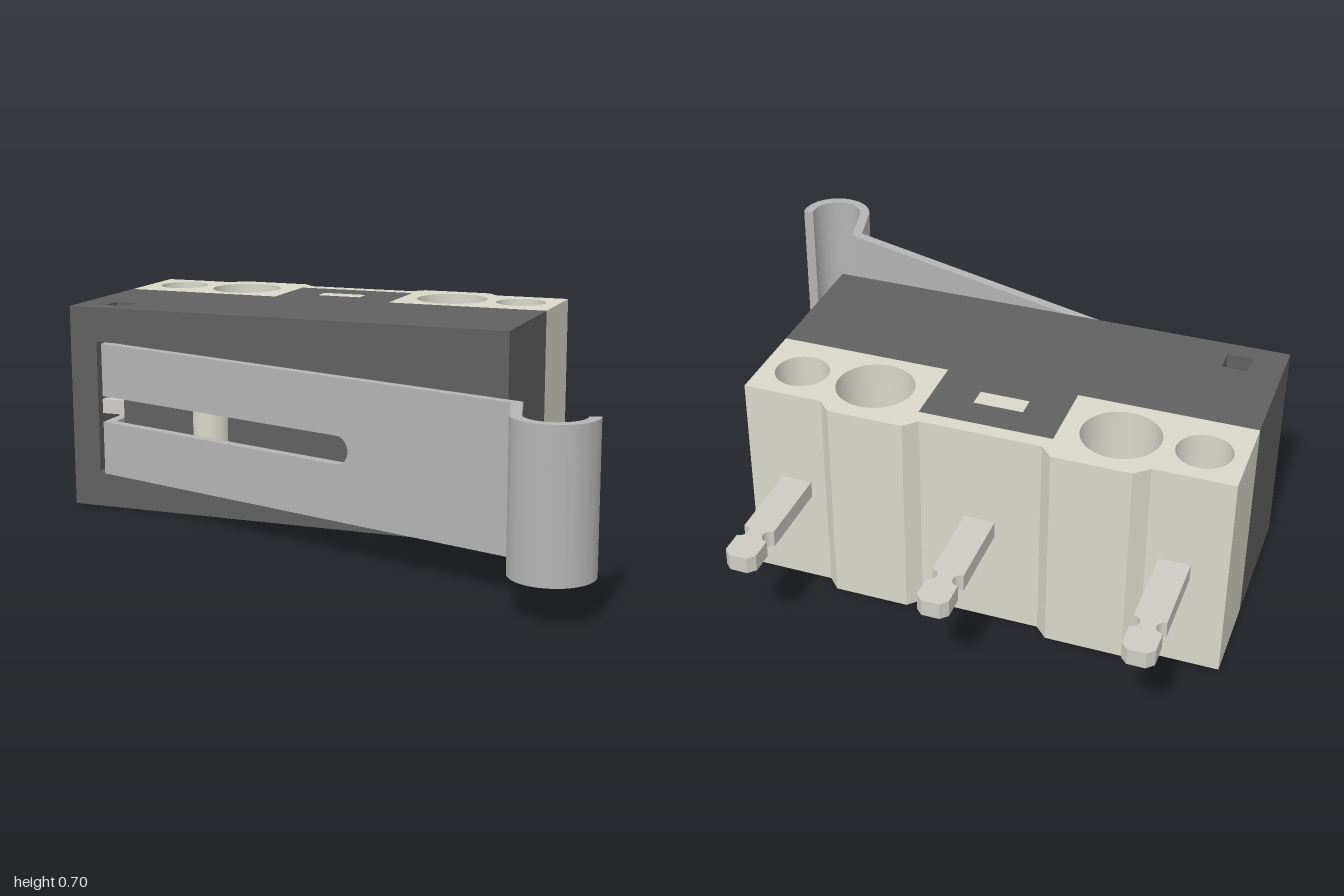
import * as THREE from 'three';
import { toCreasedNormals } from 'three/addons/utils/BufferGeometryUtils.js';

const mat = (color) => new THREE.MeshStandardMaterial({ color });
const DARK = mat(0x606060), CREAM = mat(0xd8d7ca), STEEL = mat(0xb4b4b4), PIN = mat(0xcccbc4);
const H = 0.7; // case height

const outline = (pts) => new THREE.Shape(pts.map(([x, z]) => new THREE.Vector2(x, z)));
const circle = (x, z, r) => new THREE.Path().absarc(x, z, r, 0, Math.PI * 2);
const rect = (x0, x1, z0, z1) => new THREE.Path(
  [[x0, z0], [x1, z0], [x1, z1], [x0, z1]].map(([x, z]) => new THREE.Vector2(x, z)));

// Plan shape drawn in (x, z), extruded from y0 up to y1
function slab(name, material, shape, holes, y0, y1) {
  shape.holes.push(...holes);
  const geo = new THREE.ExtrudeGeometry(shape, { depth: y1 - y0, bevelEnabled: false, curveSegments: 24 });
  geo.rotateX(Math.PI / 2).translate(0, y1, 0);
  const mesh = new THREE.Mesh(toCreasedNormals(geo, 0.5), material);
  mesh.name = name;
  return mesh;
}

function box(name, material, x0, x1, y0, y1, z0, z1) {
  const mesh = new THREE.Mesh(new THREE.BoxGeometry(x1 - x0, y1 - y0, z1 - z0), material);
  mesh.position.set((x0 + x1) / 2, (y0 + y1) / 2, (z0 + z1) / 2);
  mesh.name = name;
  return mesh;
}

// Dark front half with its central tongue and the lever pocket
function frontCase() {
  const g = new THREE.Group();
  g.name = 'frontCase';
  const back = [[0.565, -0.25], [0, -0.25], [0, -0.505], [-0.43, -0.505], [-0.43, -0.25], [-1, -0.25]];
  const full = () => outline([...back, [-1, 0.21], [0.565, 0.21]]);
  const notched = outline([...back, [-1, 0.21], [-0.9, 0.21], [-0.9, 0.06], [-0.8, 0.06], [-0.8, 0.21], [0.565, 0.21]]);
  const latchHole = () => rect(-0.3, -0.14, -0.4, -0.335);
  const pivotHole = () => rect(-0.895, -0.81, 0.065, 0.145);
  g.add(
    slab('caseFloor', DARK, full(), [latchHole(), pivotHole()], 0, 0.125),
    slab('caseMiddle', DARK, notched, [latchHole()], 0.125, 0.58),
    slab('caseRoof', DARK, full(), [latchHole(), pivotHole()], 0.58, H),
    box('latch', CREAM, -0.3, -0.14, 0, H, -0.4, -0.335),
    box('pocketLining', CREAM, -0.9, -0.8, 0.125, 0.58, 0.05, 0.064),
    box('pivotBar', PIN, -0.9, -0.8, 0.325, 0.375, 0.15, 0.18));
  return g;
}

// Cream rear half: through holes for mounting, blind holes at both ends
function rearCase() {
  const g = new THREE.Group();
  g.name = 'rearCase';
  const plan = () => outline([
    [-1, -0.25], [-1, -0.553], [-0.745, -0.553], [-0.7, -0.595], [-0.45, -0.595], [-0.41, -0.553],
    [-0.02, -0.553], [0.02, -0.595], [0.265, -0.595], [0.305, -0.553], [0.565, -0.553],
    [0.565, -0.25], [0, -0.25], [0, -0.505], [-0.43, -0.505], [-0.43, -0.25]]);
  const mounts = () => [circle(-0.615, -0.415, 0.125), circle(0.18, -0.415, 0.125)];
  const ends = (rl, rr) => [circle(-0.87, -0.415, rl), circle(0.43, -0.415, rr)];
  g.add(
    slab('rearBottom', CREAM, plan(), [...mounts(), ...ends(0.087, 0.06)], 0, 0.2),
    slab('rearMiddle', CREAM, plan(), mounts(), 0.2, 0.5),
    slab('rearTop', CREAM, plan(), [...mounts(), ...ends(0.087, 0.087)], 0.5, H));
  return g;
}

// Flat terminal with chamfered tip and two round notches
function terminal(x) {
  const s = new THREE.Shape();
  const w = 0.05, zn = -0.855, r = 0.025;
  s.moveTo(x - w, -0.54);
  s.lineTo(x + w, -0.54);
  s.lineTo(x + w, zn + r);
  s.absarc(x + w, zn, r, Math.PI / 2, Math.PI * 1.5, false);
  s.lineTo(x + w, -0.955);
  s.lineTo(x + w - 0.022, -0.977);
  s.lineTo(x - w + 0.022, -0.977);
  s.lineTo(x - w, -0.955);
  s.lineTo(x - w, zn - r);
  s.absarc(x - w, zn, r, -Math.PI / 2, Math.PI / 2, false);
  s.closePath();
  return slab('terminal', PIN, s, [], 0.325, 0.38);
}

// Sprung lever: forked arm, two pivot fingers and a curled tip
function lever() {
  const g = new THREE.Group();
  g.name = 'lever';
  const y0 = 0.125, y1 = 0.58, mid = 0.353, slot = 0.045, t = 0.034;
  const dx = 1.592, dz = 0.485, len = Math.hypot(dx, dz);

  const s = new THREE.Shape();
  s.moveTo(0, y0);
  s.lineTo(len, y0);
  s.lineTo(len, y1);
  s.lineTo(0, y1);
  s.lineTo(0, mid + slot);
  s.lineTo(1.02, mid + slot);
  s.absarc(1.02, mid, slot, Math.PI / 2, -Math.PI / 2, true);
  s.lineTo(0, mid - slot);
  s.closePath();
  const geo = new THREE.ExtrudeGeometry(s, { depth: t, bevelEnabled: false, curveSegments: 16 });
  geo.translate(0, 0, -t / 2).rotateY(-Math.atan2(dz, dx)).translate(-0.862, 0, 0.221);
  const arm = new THREE.Mesh(toCreasedNormals(geo, 0.5), STEEL);
  arm.name = 'leverArm';
  g.add(arm);

  for (const [a, b] of [[y0, mid - slot], [mid + slot, y1]]) {
    g.add(box('pivotFinger', STEEL, -0.867, -0.832, a, b, 0.066, 0.222));
  }

  const cx = 0.873, cz = 0.84, from = Math.PI * 0.945, to = -0.2;
  const tip = new THREE.Shape();
  tip.moveTo(0.742, 0.69);
  tip.lineTo(0.73, 0.69);
  tip.lineTo(0.715, 0.722);
  tip.absarc(cx, cz, 0.127, from, to, true);
  tip.absarc(cx, cz, 0.092, to, from, false);
  tip.closePath();
  g.add(slab('leverTip', STEEL, tip, [], y0, y1));
  return g;
}

export function createModel() {
  const model = new THREE.Group();
  model.name = 'leverSwitch';
  model.add(frontCase(), rearCase(), lever());
  for (const x of [-0.835, -0.215, 0.405]) model.add(terminal(x));

  // Rounded push button under the lever
  const button = new THREE.Mesh(new THREE.CylinderGeometry(0.062, 0.062, 0.345, 32), CREAM);
  button.name = 'pushButton';
  button.position.set(-0.47, 0.353, 0.208);
  model.add(button);
  return model;
}
